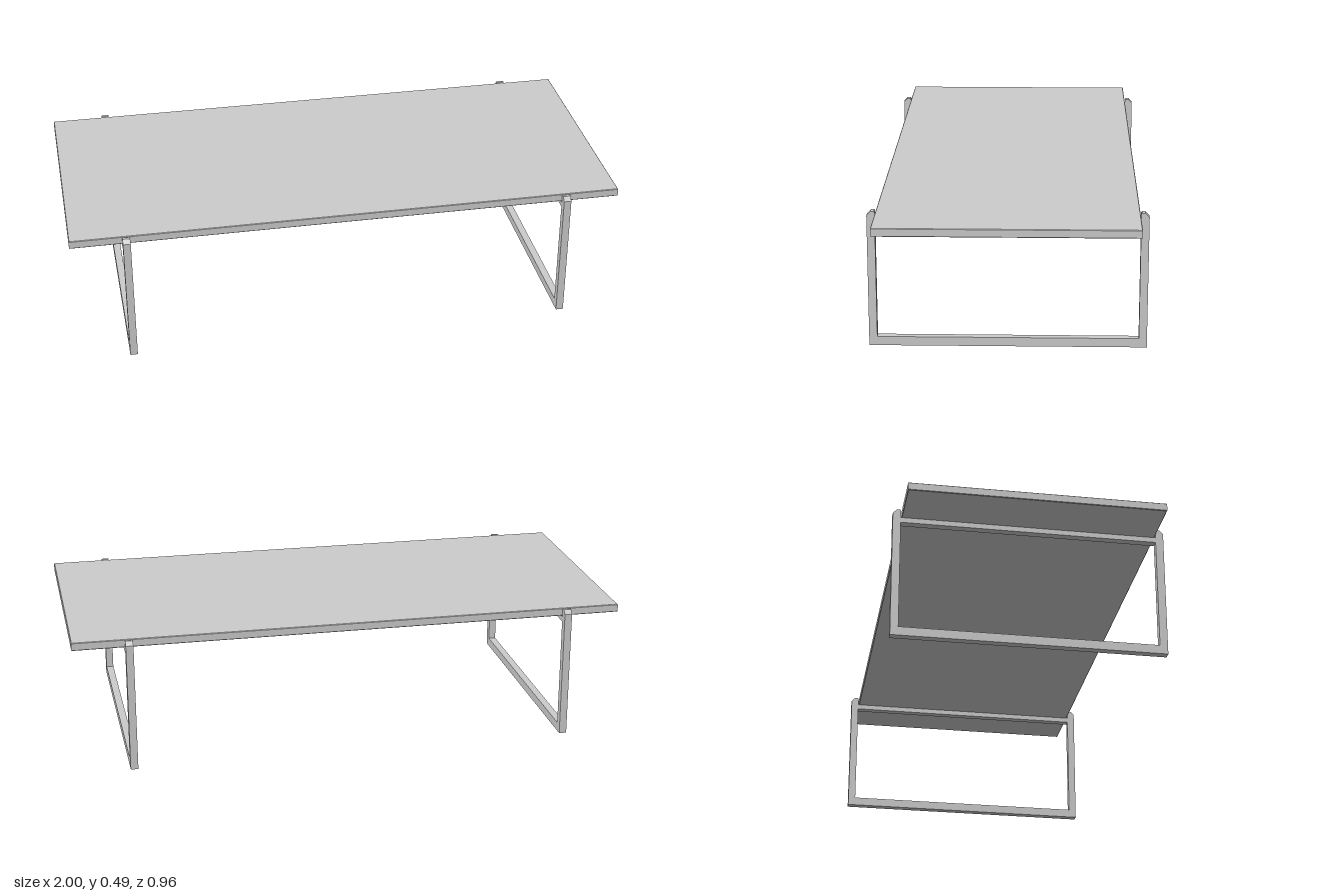
import * as THREE from 'three';

const TOP = 0.485;

export function createModel() {
  const model = new THREE.Group();
  const material = new THREE.MeshStandardMaterial({ color: 0xcccccc });

  // Thin slab with finely bevelled edges
  const halfX = 1, halfZ = 0.449, thickness = 0.029, bevel = 0.002;
  const slab = new THREE.Shape([
    new THREE.Vector2(-halfX + bevel, -halfZ + bevel),
    new THREE.Vector2(halfX - bevel, -halfZ + bevel),
    new THREE.Vector2(halfX - bevel, halfZ - bevel),
    new THREE.Vector2(-halfX + bevel, halfZ - bevel),
  ]);
  const slabGeometry = new THREE.ExtrudeGeometry(slab, {
    depth: thickness - 2 * bevel, bevelSize: bevel, bevelThickness: bevel, bevelSegments: 1,
  });
  slabGeometry.rotateX(-Math.PI / 2).translate(0, TOP - thickness + bevel, 0);
  const tabletop = new THREE.Mesh(slabGeometry, material);
  tabletop.name = 'tabletop';
  model.add(tabletop);

  // Closed leg loop: chamfered post tops rise either side of the tabletop
  const outer = 0.48, inner = 0.452, railTop = 0.454, railBottom = 0.435, footTop = 0.032;
  const chamfer = 0.014, lip = 0.003;
  const half = [
    [outer, 0], [outer, TOP - chamfer], [outer - chamfer, TOP],
    [inner + lip, TOP], [inner, TOP - lip], [inner, railTop],
  ];
  const mirrored = half.map(([z, y]) => [-z, y]).reverse();
  const loop = new THREE.Shape([...half, ...mirrored].map(([z, y]) => new THREE.Vector2(z, y)));
  loop.holes.push(new THREE.Path([
    new THREE.Vector2(-inner, footTop), new THREE.Vector2(-inner, railBottom),
    new THREE.Vector2(inner, railBottom), new THREE.Vector2(inner, footTop),
  ]));
  const width = 0.027;
  const legGeometry = new THREE.ExtrudeGeometry(loop, { depth: width, bevelEnabled: false });
  legGeometry.translate(0, 0, -width / 2).rotateY(-Math.PI / 2);

  for (const [name, x] of [['leftLegFrame', 0.8], ['rightLegFrame', -0.8]]) {
    const leg = new THREE.Mesh(legGeometry, material);
    leg.name = name;
    leg.position.x = x;
    model.add(leg);
  }
  return model;
}
